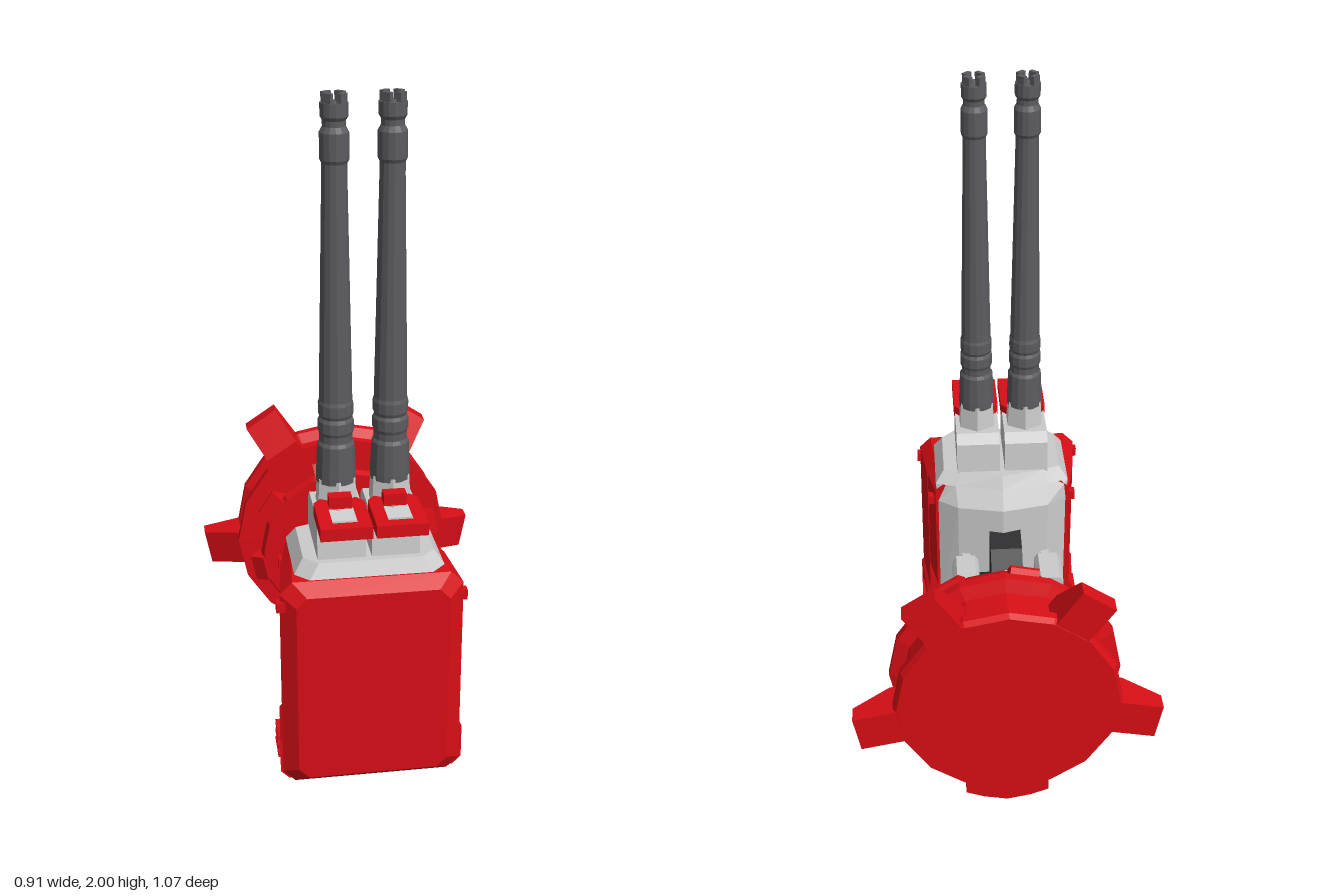
import * as THREE from 'three';

const material = (color) => new THREE.MeshStandardMaterial({ color, flatShading: true });

export function createModel() {
  const model = new THREE.Group();
  const grey = material(0xcccccc), red = material(0xd80e16);
  const dark = material(0x5c5c61), black = material(0x2b2b2e);
  const CX = -0.027; // centre line of the housing

  const add = (name, geometry, mat, x = 0, y = 0, z = 0, parent = model) => {
    const mesh = new THREE.Mesh(geometry, mat);
    mesh.name = name;
    mesh.position.set(x, y, z);
    parent.add(mesh);
    return mesh;
  };
  const group = (name, x = 0, y = 0, z = 0) => {
    const g = new THREE.Group();
    g.name = name;
    g.position.set(x, y, z);
    model.add(g);
    return g;
  };
  const box = (w, h, d) => new THREE.BoxGeometry(w, h, d);
  const lathe = (pts, n) => new THREE.LatheGeometry(pts.map(([r, h]) => new THREE.Vector2(r, h)), n);
  const shape = (pts) => new THREE.Shape(pts.map(([a, b]) => new THREE.Vector2(a, b)));
  const extrude = (s, depth) =>
    new THREE.ExtrudeGeometry(s, { depth, bevelEnabled: false }).translate(0, 0, -depth / 2);

  // Closed solid through matching cross-sections
  const loft = (sections) => {
    const n = sections[0].length, index = [];
    for (let s = 0; s < sections.length - 1; s++)
      for (let i = 0; i < n; i++) {
        const a = s * n + i, b = s * n + (i + 1) % n;
        index.push(a, b, b + n, a, b + n, a + n);
      }
    const last = (sections.length - 1) * n;
    for (let i = 1; i < n - 1; i++) index.push(0, i + 1, i, last, last + i, last + i + 1);
    const g = new THREE.BufferGeometry();
    g.setAttribute('position', new THREE.Float32BufferAttribute(sections.flat(2), 3));
    g.setIndex(index);
    const flat = g.toNonIndexed();
    flat.computeVertexNormals();
    return flat;
  };

  // Grey housing: bevelled plan with a slightly pointed back
  const plan = (y, hw, zf, zb, zc) => [
    [-hw + 0.04, y, zf], [hw - 0.04, y, zf], [hw, y, zf - 0.04], [hw, y, zc],
    [hw * 0.7, y, zb + 0.03], [0, y, zb], [-hw * 0.7, y, zb + 0.03], [-hw, y, zc], [-hw, y, zf - 0.04],
  ];
  add('housing', loft([
    plan(0.08, 0.165, 0.44, 0.165, 0.22), plan(0.2, 0.205, 0.44, 0.12, 0.19),
    plan(0.64, 0.205, 0.44, 0.115, 0.19), plan(0.70, 0.212, 0.47, 0.15, 0.2),
    plan(0.74, 0.185, 0.45, 0.17, 0.22),
  ]), grey, CX);

  // Red casing around the front and sides
  const rect = (z, hw, y0, y1, c) => [
    [-hw + c, y0, z], [hw - c, y0, z], [hw, y0 + c, z], [hw, y1 - c, z],
    [hw - c, y1, z], [-hw + c, y1, z], [-hw, y1 - c, z], [-hw, y0 + c, z],
  ];
  const casing = group('casing', CX);
  add('frontCasing', loft([
    rect(0.30, 0.238, 0.05, 0.70, 0.03), rect(0.475, 0.258, 0.05, 0.70, 0.035),
    rect(0.51, 0.215, 0.08, 0.665, 0.03),
  ]), red, 0, 0, 0, casing);
  add('sidePanels', loft([
    rect(0.19, 0.214, 0.28, 0.70, 0.025), rect(0.31, 0.238, 0.28, 0.70, 0.03),
  ]), red, 0, 0, 0, casing);
  add('lowerSkirt', loft([
    rect(0.30, 0.25, 0.06, 0.215, 0.025), rect(0.475, 0.265, 0.06, 0.215, 0.025),
  ]), red, 0, 0, 0, casing);
  for (const s of [-1, 1]) {
    for (const [x, z] of [[0.222, 0.22], [0.253, 0.475]])
      add('casingPeg', box(0.03, 0.03, 0.025), red, s * x, 0.63, z, casing);
    for (let i = 0; i < 3; i++)
      add('ventRib', box(0.02, 0.012, 0.09), red, s * 0.255, 0.09 + i * 0.03, 0.36, casing);
  }

  // Twin antennas with their mounts and clips
  const antennaProfile = [
    [0, 0.93], [0.056, 0.93], [0.056, 0.95], [0.052, 1.04], [0.046, 1.05], [0.046, 1.07],
    [0.05, 1.08], [0.05, 1.11], [0.045, 1.12], [0.049, 1.13], [0.049, 1.16], [0.046, 1.17],
    [0.034, 1.79], [0.034, 1.82], [0.039, 1.83], [0.039, 1.9], [0.031, 1.915], [0.031, 1.93],
    [0.037, 1.94], [0.037, 1.975], [0, 1.975],
  ];
  const clipShape = shape([[-0.071, 0.535], [0.071, 0.535], [0.071, 0.37], [0.045, 0.338],
    [-0.045, 0.338], [-0.071, 0.37]]);
  clipShape.holes.push(new THREE.Path([[-0.034, 0.41], [-0.034, 0.5], [0.034, 0.5], [0.034, 0.41]]
    .map(([a, b]) => new THREE.Vector2(a, b))));
  const mountShape = shape([[0.43, 0.73], [0.42, 0.85], [0.37, 0.86], [0.24, 0.86], [0.21, 0.835], [0.2, 0.73]]);
  for (const x of [-0.105, 0.047]) {
    const mast = group('antennaAssembly', x);
    add('antenna', lathe(antennaProfile, 14), dark, 0, 0, 0.312, mast);
    for (let i = 0; i < 4; i++) {
      const a = (i + 0.5) * Math.PI / 2;
      add('antennaTip', box(0.026, 0.04, 0.014), dark,
        0.026 * Math.cos(a), 1.98, 0.312 + 0.026 * Math.sin(a), mast).rotation.y = Math.PI / 2 - a;
    }
    add('antennaSocket', new THREE.CylinderGeometry(0.058, 0.064, 0.1, 6), grey, 0, 0.892, 0.312, mast);
    add('antennaMount', extrude(mountShape, 0.136).rotateY(-Math.PI / 2), grey, 0, 0, 0, mast);
    add('clip', extrude(clipShape, 0.036).rotateX(Math.PI / 2), red, 0, 0.867, 0, mast);
    add('clipTab', box(0.064, 0.035, 0.036), red, 0, 0.898, 0.388, mast);
  }

  // Pivot wheel and the two arms beside it
  add('pivotWheel', new THREE.CylinderGeometry(0.163, 0.163, 0.1, 12).rotateZ(Math.PI / 2), black, -0.032, 0.398, 0.135);
  add('pivotHub', new THREE.CylinderGeometry(0.05, 0.05, 0.2, 8).rotateZ(Math.PI / 2), black, -0.035, 0.398, 0.04);
  const armShape = shape([[-0.042, -0.05], [-0.03, -0.065], [0.03, -0.065], [0.042, -0.05],
    [0.042, 0.05], [0.03, 0.065], [-0.03, 0.065], [-0.042, 0.05]]);
  for (const s of [-1, 1]) {
    add('arm', extrude(armShape, 0.13).scale(1, 1.27, 1), grey, -0.035 + s * 0.132, 0.398, 0.037);
    add('armRod', box(0.026, 0.12, 0.1), grey, -0.035 + s * 0.128, 0.4, 0.14);
  }

  // Ribbed neck
  const neck = group('neck', -0.028, 0.395);
  add('neckBarrel', lathe([[0, -0.234], [0.1, -0.234], [0.104, -0.2], [0.109, -0.14], [0.115, -0.13],
    [0.115, -0.118], [0.1, -0.112], [0.1, -0.035], [0.112, -0.032], [0.112, -0.014], [0, -0.014]], 16)
    .rotateX(Math.PI / 2), grey, 0, 0, 0, neck);
  for (let i = 0; i < 12; i++) {
    const spoke = new THREE.Group();
    spoke.name = 'neckRib';
    spoke.rotation.z = i * Math.PI / 6;
    neck.add(spoke);
    add('frontRib', box(0.018, 0.026, 0.08), grey, 0.098, 0, -0.073, spoke);
    add('rearRib', box(0.018, 0.032, 0.09), grey, 0.103, 0, -0.18, spoke);
  }

  // Red wheel: back drum, flange and flared front dish
  const wheel = group('wheel', 0, 0.415);
  add('drum', lathe([[0, -0.537], [0.325, -0.537], [0.335, -0.52], [0.335, -0.495], [0.305, -0.475],
    [0.305, -0.395], [0.345, -0.38], [0.345, -0.353], [0, -0.353]], 16).rotateX(Math.PI / 2), red, 0, 0, 0, wheel);
  add('dish', lathe([[0, -0.36], [0.19, -0.36], [0.278, -0.268], [0.27, -0.245], [0, -0.245]], 16)
    .rotateX(Math.PI / 2), red, 0, 0, 0, wheel);

  // Radial pieces: profile in radius and depth, turned about the wheel axis
  const radial = (name, pts, width, degrees) =>
    add(name, extrude(shape(pts), width).rotateX(Math.PI / 2), red, 0, 0, 0, wheel)
      .rotation.z = THREE.MathUtils.degToRad(degrees);
  for (let i = 0; i < 8; i++)
    radial('dishTooth', [[0.18, -0.356], [0.215, -0.356], [0.31, -0.285], [0.31, -0.275], [0.272, -0.245], [0.2, -0.25]],
      0.085, 102 + i * 45);
  for (const a of [56, 124, -11, 191])
    radial('lug', [[0.26, -0.536], [0.45, -0.536], [0.45, -0.485], [0.34, -0.425], [0.26, -0.425]], 0.115, a);

  // Three curved fins under the wheel
  const finShape = shape([[-0.125, 0.13], [-0.125, 0.035], [-0.07, 0.014], [0, 0], [0.07, 0.014], [0.125, 0.035], [0.125, 0.13]]);
  for (const z of [-0.391, -0.438, -0.487]) add('bottomFin', extrude(finShape, 0.02), red, 0, 0, z);

  return model;
}
